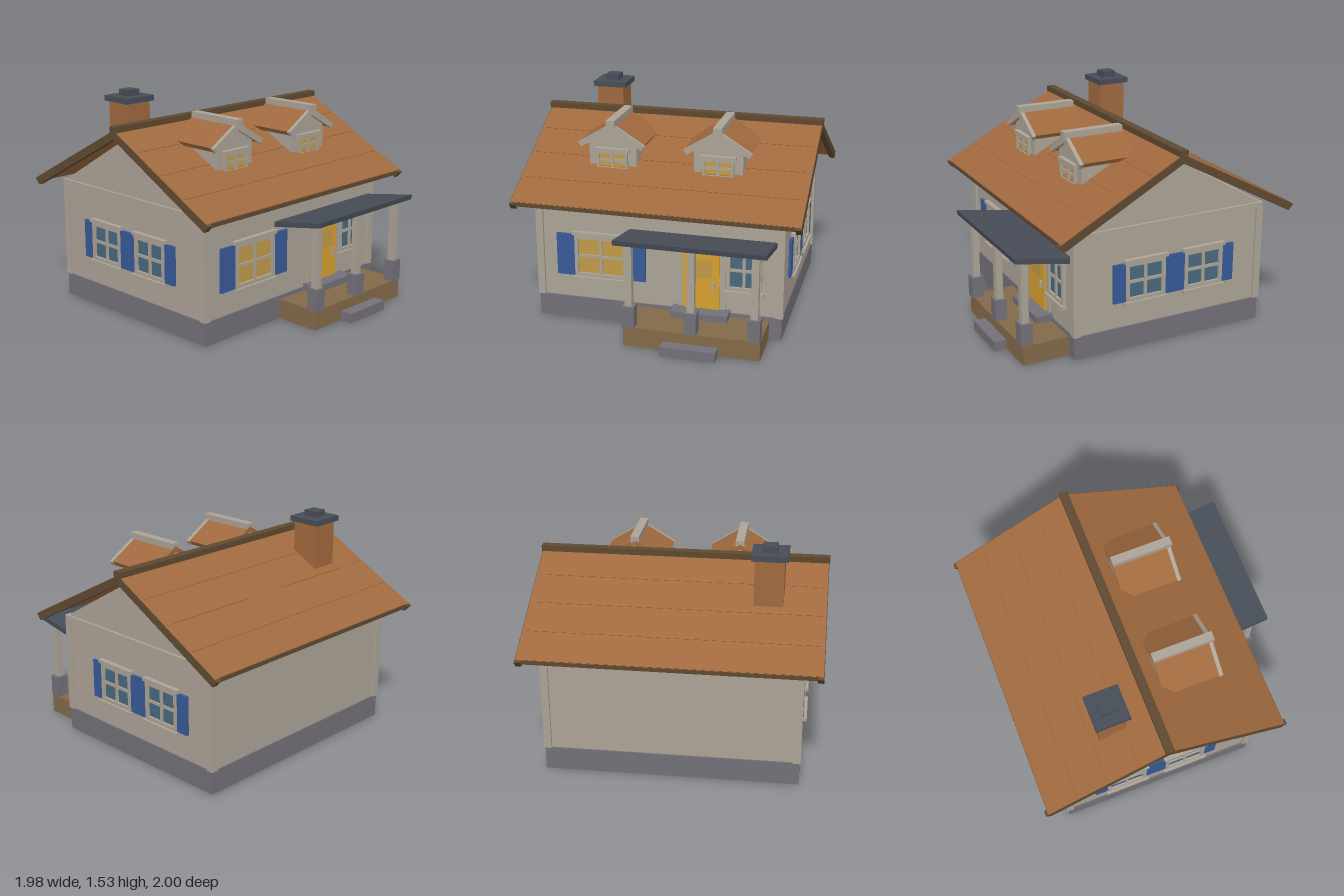
import * as THREE from 'three';

const mat = (name, color) => {
  const m = new THREE.MeshStandardMaterial({ color });
  m.name = name;
  return m;
};

export function createModel() {
  const M = {
    plaster: mat('plaster', 0xaca396),
    stone: mat('stone', 0x737078),
    roof: mat('terracotta', 0xa0693f),
    timber: mat('dark timber', 0x5f4930),
    slate: mat('slate', 0x474d57),
    blue: mat('shutter blue', 0x375a98),
    door: mat('door yellow', 0xd6a02f),
    warm: mat('lit glass', 0xc09a48),
    glass: mat('blue glass', 0x48697e),
    deck: mat('deck wood', 0x826a49),
  };
  const model = new THREE.Group();
  model.name = 'cottage';

  const add = (parent, name, geo, material) => {
    const mesh = new THREE.Mesh(geo, material);
    mesh.name = name;
    parent.add(mesh);
    return mesh;
  };
  // box given by its limits on each axis
  const box = (parent, name, material, [x0, x1], [y0, y1], [z0, z1]) => {
    const mesh = add(parent, name, new THREE.BoxGeometry(x1 - x0, y1 - y0, z1 - z0), material);
    mesh.position.set((x0 + x1) / 2, (y0 + y1) / 2, (z0 + z1) / 2);
    return mesh;
  };
  // outline in the xy plane, extruded from z0 to z1
  const prism = (points, z0, z1) => {
    const shape = new THREE.Shape(points.map(([x, y]) => new THREE.Vector2(x, y)));
    return new THREE.ExtrudeGeometry(shape, { depth: z1 - z0, bevelEnabled: false }).translate(0, 0, z0);
  };
  // upside-down V from outer eave, outer ridge, inner eave, inner ridge
  const chevron = (ox, oy, top, ix, iy, under) =>
    [[ox, oy], [0, top], [-ox, oy], [-ix, iy], [0, under], [ix, iy]];
  const RIDGE_Z = -0.12;
  // outline in the zy plane around the ridge, extruded along x
  const alongX = (points, x0, x1) =>
    prism(points, -x1, -x0).rotateY(-Math.PI / 2).translate(0, 0, RIDGE_Z);

  // window facing +z, centred on its own origin
  const makeWindow = (parent, name, w, h, glass, shutter = 0, t = 0.025) => {
    const g = new THREE.Group();
    g.name = name;
    parent.add(g);
    const W = w / 2, H = h / 2;
    box(g, 'glass', glass, [-W + 0.01, W - 0.01], [-H + 0.01, H - 0.01], [0, 0.008]);
    for (const s of [-1, 1]) {
      const side = box(g, 'frameSide', M.plaster, [-t / 2, t / 2], [-H, H], [0, 0.025]);
      side.position.x = s * (W - t / 2);
      const rail = box(g, 'frameRail', M.plaster, [-W + t, W - t], [-t / 2, t / 2], [0, 0.025]);
      rail.position.y = s * (H - t / 2);
      if (shutter) {
        const leaf = box(g, 'shutter', M.blue, [-shutter / 2, shutter / 2], [-H, H], [0, 0.018]);
        leaf.position.x = s * (W + shutter / 2);
      }
    }
    box(g, 'mullion', M.plaster, [-0.01, 0.01], [-H + t, H - t], [0, 0.02]);
    box(g, 'transom', M.plaster, [-W + t, W - t], [-0.01, 0.01], [0, 0.018]);
    box(g, 'head', M.plaster, [-W - 0.015, W + 0.015], [H, H + 0.024], [0, 0.033]);
    box(g, 'sill', M.plaster, [-W - 0.015, W + 0.015], [-H - 0.024, -H], [0, 0.042]);
    return g;
  };

  // foundation, walls and gables
  box(model, 'foundation', M.stone, [-0.855, 0.855], [0.005, 0.165], [-0.83, 0.59]);
  box(model, 'walls', M.plaster, [-0.845, 0.845], [0.16, 0.86], [-0.82, 0.58]);
  add(model, 'gables', alongX([[0.71, 0.86], [0, 1.28], [-0.71, 0.86]], -0.845, 0.845), M.plaster);
  for (const s of [-1, 1]) {
    const sx = s > 0 ? [0.812, 0.863] : [-0.863, -0.812];
    box(model, 'cornerPost', M.plaster, sx, [0.165, 0.83], [0.548, 0.598]);
    box(model, 'cornerPost', M.plaster, sx, [0.165, 0.83], [-0.838, -0.788]);
    box(model, 'gableBand', M.plaster, sx, [0.83, 0.868], [-0.838, 0.598]);
  }
  box(model, 'frontBand', M.plaster, [-0.81, 0.81], [0.83, 0.865], [0.57, 0.598]);
  box(model, 'backBand', M.plaster, [-0.81, 0.81], [0.83, 0.865], [-0.838, -0.81]);

  // main roof with end boards, fascias and ridge cap
  add(model, 'roof', alongX(chevron(0.86, 0.88, 1.338, 0.845, 0.855, 1.3), -0.982, 0.982), M.roof);
  for (const [a, b] of [[-0.986, -0.947], [0.947, 0.986]]) {
    add(model, 'bargeBoard', alongX(chevron(0.877, 0.868, 1.334, 0.84, 0.826, 1.276), a, b), M.timber);
  }
  const slope = Math.atan(0.533);
  for (const s of [-1, 1]) {
    const z = RIDGE_Z + s * 0.846;
    box(model, 'fascia', M.timber, [-0.95, 0.95], [0.85, 0.882], [z - 0.012, z + 0.012]);
    // shingle course lines
    for (const f of [0.25, 0.5, 0.75]) {
      const strip = add(model, 'shingleCourse', new THREE.BoxGeometry(1.92, 0.006, 0.01), M.roof);
      strip.position.set(0, 1.338 - 0.458 * f, RIDGE_Z + s * 0.86 * f);
      strip.rotation.x = s * slope;
    }
  }
  box(model, 'ridgeCap', M.timber, [-0.99, 0.99], [1.315, 1.362], [-0.15, -0.09]);

  // chimney
  box(model, 'chimney', M.roof, [-0.7, -0.505], [1.0, 1.45], [-0.5, -0.305]);
  box(model, 'chimneyCap', M.slate, [-0.723, -0.482], [1.45, 1.488], [-0.522, -0.284]);
  box(model, 'flue', M.slate, [-0.652, -0.552], [1.488, 1.53], [-0.453, -0.353]);

  // dormers
  for (const x of [-0.37, 0.365]) {
    const d = new THREE.Group();
    d.name = 'dormer';
    d.position.x = x;
    model.add(d);
    add(d, 'dormerBody', prism(
      [[-0.167, 0.98], [0.167, 0.98], [0.167, 1.235], [0, 1.338], [-0.167, 1.235]], 0.0, 0.375), M.plaster);
    add(d, 'dormerRoof', prism(chevron(0.228, 1.237, 1.376, 0.21, 1.208, 1.337), 0.0, 0.395), M.roof);
    add(d, 'dormerBarge', prism(chevron(0.234, 1.234, 1.378, 0.212, 1.203, 1.325), 0.39, 0.417), M.plaster);
    box(d, 'dormerRidge', M.plaster, [-0.03, 0.03], [1.355, 1.4], [0.0, 0.428]);
    makeWindow(d, 'dormerWindow', 0.215, 0.125, M.warm, 0, 0.016).position.set(0, 1.112, 0.374);
  }

  // front and side windows
  makeWindow(model, 'frontWindowLit', 0.37, 0.3, M.warm, 0.13).position.set(-0.4, 0.48, 0.58);
  makeWindow(model, 'frontWindow', 0.24, 0.29, M.glass).position.set(0.595, 0.483, 0.58);
  for (const s of [-1, 1]) {
    for (const z of [0.072, -0.372]) {
      const w = makeWindow(model, 'sideWindow', 0.295, 0.27, M.glass, 0.09);
      w.position.set(s * 0.845, 0.48, z);
      w.rotation.y = s * Math.PI / 2;
    }
  }

  // front door
  box(model, 'doorFrame', M.plaster, [0.14, 0.47], [0.165, 0.66], [0.57, 0.592]);
  box(model, 'door', M.door, [0.18, 0.43], [0.185, 0.63], [0.58, 0.604]);
  box(model, 'doorPane', M.warm, [0.235, 0.38], [0.41, 0.545], [0.602, 0.608]);
  box(model, 'doorHandle', M.plaster, [0.377, 0.398], [0.34, 0.39], [0.6, 0.622]);

  // porch deck, steps, posts and lean-to roof
  box(model, 'porchDeck', M.deck, [-0.15, 0.77], [0.005, 0.14], [0.585, 0.915]);
  box(model, 'frontStep', M.stone, [0.12, 0.492], [0, 0.068], [0.91, 1.0]);
  box(model, 'doorStep', M.stone, [0.11, 0.505], [0.14, 0.187], [0.58, 0.7]);
  for (const x of [-0.113, 0.307, 0.727]) {
    box(model, 'postBase', M.stone, [x - 0.041, x + 0.041], [0.14, 0.29], [0.844, 0.926]);
    box(model, 'porchPost', M.plaster, [x - 0.024, x + 0.024], [0.29, 0.715], [0.861, 0.909]);
  }
  const lean = [[0.58, 0.665], [0.97, 0.735], [0.977, 0.77], [0.58, 0.702]];
  add(model, 'porchRoof', alongX(lean.map(([z, y]) => [z - RIDGE_Z, y]), -0.195, 0.808), M.slate);

  return model;
}
